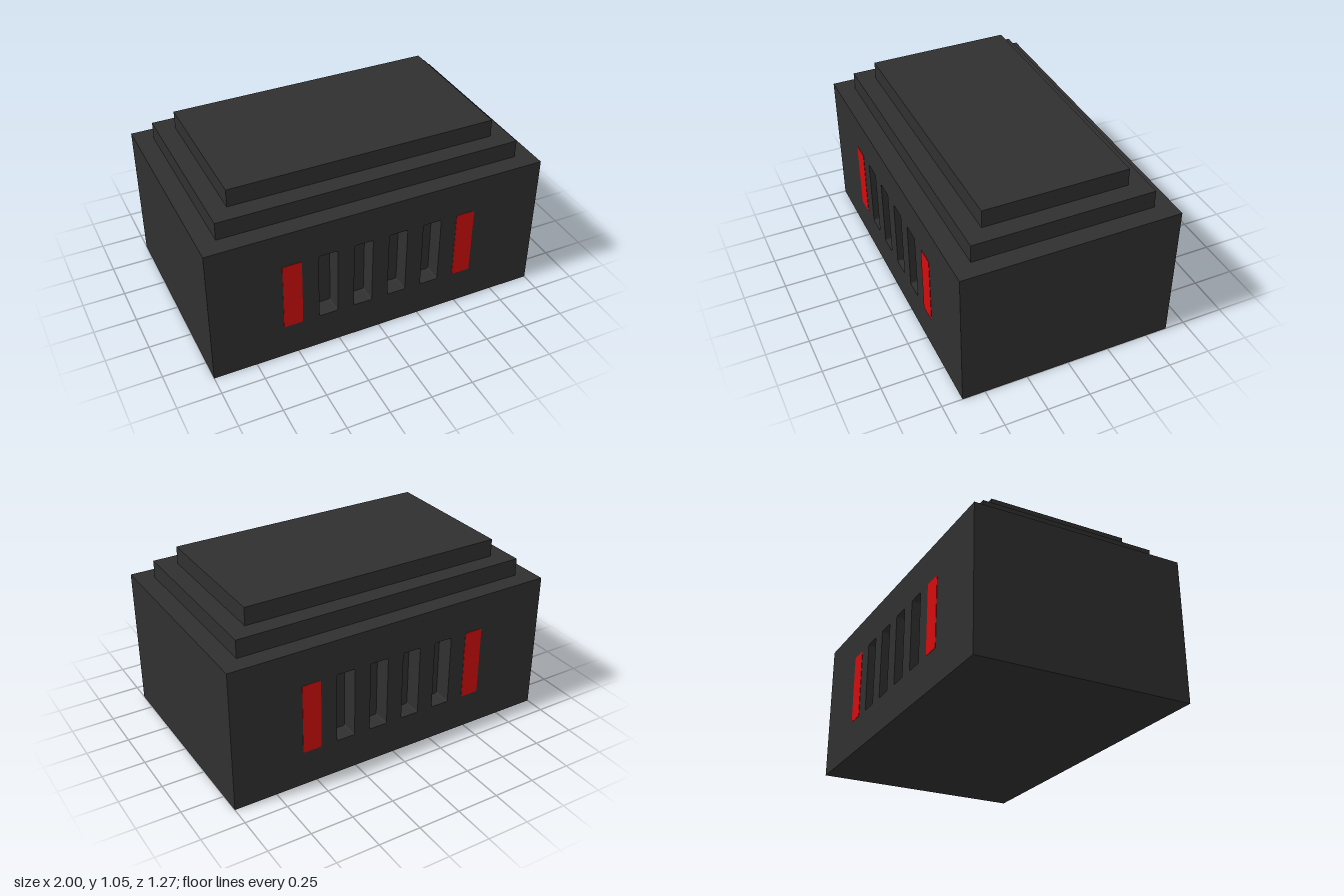
import * as THREE from 'three';

const U = 2 / 19; // base module: the body is 19 x 8 x 12 modules
const SLOT_W = 0.112, SLOT_H = 4 * U, SLOT_Y = 4 * U, RADIUS = 0.01;

// Upright rounded slot outline centred on (cx, cy)
function slotOutline(target, cx, cy) {
  const x = SLOT_W / 2, y = SLOT_H / 2, r = RADIUS;
  target.absarc(cx + x - r, cy + y - r, r, 0, Math.PI / 2);
  target.absarc(cx - x + r, cy + y - r, r, Math.PI / 2, Math.PI);
  target.absarc(cx - x + r, cy - y + r, r, Math.PI, Math.PI * 1.5);
  target.absarc(cx + x - r, cy - y + r, r, Math.PI * 1.5, Math.PI * 2);
  target.closePath();
  return target;
}

export function createModel() {
  const group = new THREE.Group();
  const charcoal = new THREE.MeshStandardMaterial({ color: 0x303030 });
  const red = new THREE.MeshStandardMaterial({ color: 0xd40c0e });

  function add(parent, name, geometry, material, x, y, z) {
    const mesh = new THREE.Mesh(geometry, material);
    mesh.name = name;
    mesh.position.set(x, y, z);
    parent.add(mesh);
  }

  // Body core and the two stepped tiers of the lid
  add(group, 'bodyCore', new THREE.BoxGeometry(2, 8 * U, 10 * U), charcoal, 0, 4 * U, 0);
  add(group, 'lowerTier', new THREE.BoxGeometry(17 * U, U, 10 * U), charcoal, 0, 8.5 * U, 0);
  add(group, 'upperTier', new THREE.BoxGeometry(15 * U, U, 8 * U), charcoal, 0, 9.5 * U, 0);

  // Slotted wall: four recessed vents between two red light strips
  const wall = new THREE.Shape([
    new THREE.Vector2(-1, 0), new THREE.Vector2(1, 0),
    new THREE.Vector2(1, 8 * U), new THREE.Vector2(-1, 8 * U),
  ]);
  for (const i of [-3, -1, 1, 3]) wall.holes.push(slotOutline(new THREE.Path(), i * U, SLOT_Y));
  const wallGeometry = new THREE.ExtrudeGeometry(wall, { depth: U, bevelEnabled: false, curveSegments: 3 });
  const stripGeometry = new THREE.ExtrudeGeometry(slotOutline(new THREE.Shape(), 0, 0),
    { depth: 0.006, bevelEnabled: false, curveSegments: 3 });

  // The front and back walls are alike
  for (const side of ['front', 'back']) {
    const face = new THREE.Group();
    face.name = side + 'Face';
    if (side === 'back') face.rotation.y = Math.PI;
    add(face, side + 'VentWall', wallGeometry, charcoal, 0, 0, 5 * U);
    for (const i of [-5, 5]) add(face, side + 'LightStrip', stripGeometry, red, i * U, SLOT_Y, 6 * U - 0.004);
    group.add(face);
  }
  return group;
}
